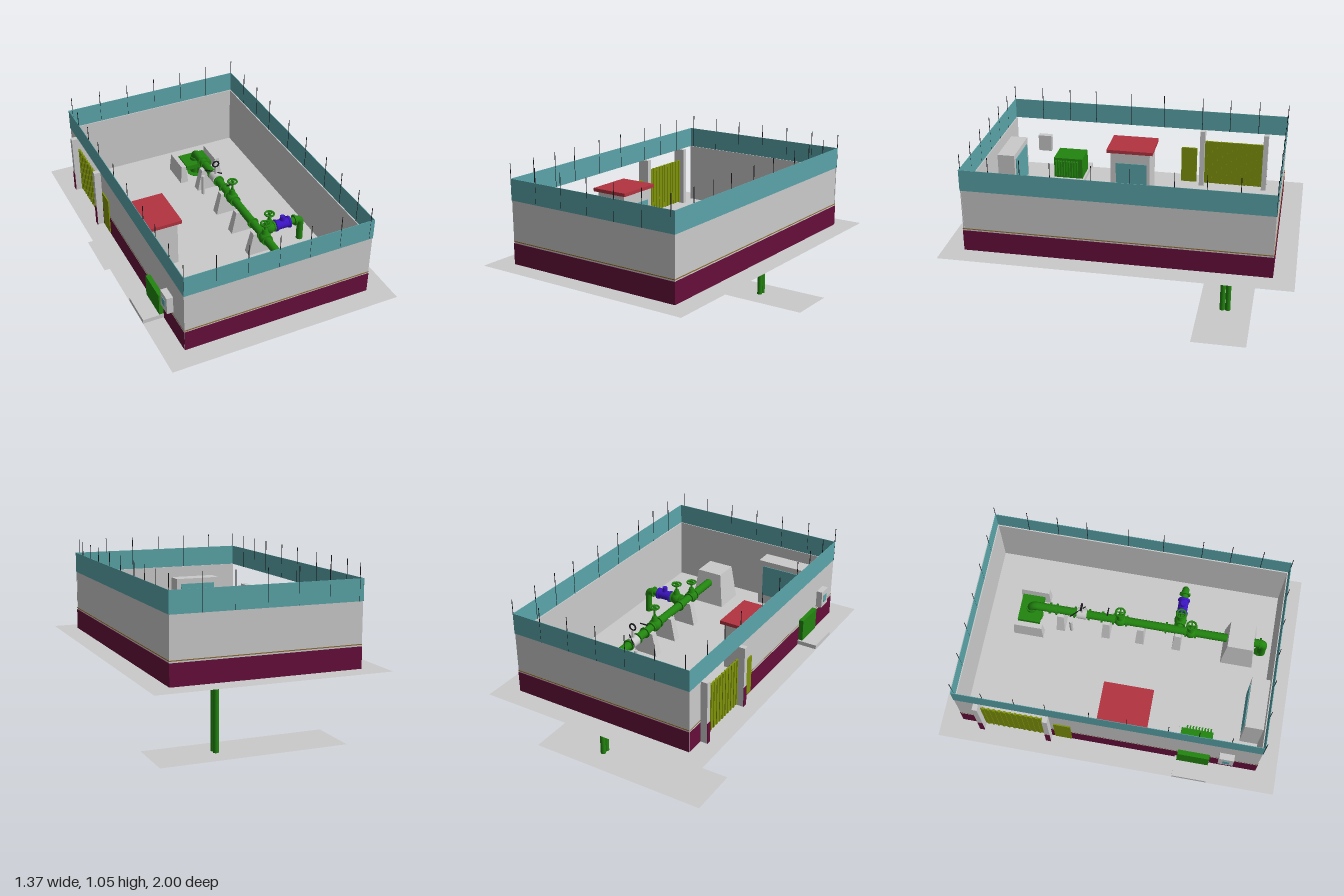
import * as THREE from 'three';

const mat = (name, color, side = THREE.FrontSide) => {
  const m = new THREE.MeshStandardMaterial({ color, side });
  m.name = name;
  return m;
};

export function createModel() {
  const root = new THREE.Group();
  root.name = 'pumpingStation';
  const grey = mat('concreteGrey', 0xcacaca, THREE.DoubleSide);
  const outer = grey.clone(); // same colour, seen from outside only
  outer.side = THREE.FrontSide;
  const teal = mat('tealGlass', 0x5aa4a9, THREE.DoubleSide);
  const maroon = mat('maroonPlinth', 0x660e3a);
  const red = mat('redRoof', 0xb23440);
  const green = mat('greenPaint', 0x22850f);
  const blue = mat('blueMeter', 0x3c14c4);
  const olive = mat('oliveGate', 0x7f9208);
  const black = mat('blackSteel', 0x1a1a1e);
  const gold = mat('goldTrim', 0x8a6a30);
  const G = 0.465; // yard level
  const PX = 0.175, PY = 0.61; // main pipe axis

  const add = (name, geo, m, parent = root) => {
    const o = new THREE.Mesh(geo, m);
    o.name = name;
    parent.add(o);
    return o;
  };
  // box from its min and max limits
  const box = (name, m, x0, x1, y0, y1, z0, z1) =>
    add(name, new THREE.BoxGeometry(x1 - x0, y1 - y0, z1 - z0), m)
      .position.set((x0 + x1) / 2, (y0 + y1) / 2, (z0 + z1) / 2);
  // cylinder between two points
  const rod = (name, m, a, b, r, r2 = r, seg = 16) => {
    const p = new THREE.Vector3(...a), q = new THREE.Vector3(...b);
    const d = q.clone().sub(p);
    const o = add(name, new THREE.CylinderGeometry(r2, r, d.length(), seg), m);
    o.position.copy(p).add(q).multiplyScalar(0.5);
    o.quaternion.setFromUnitVectors(new THREE.Vector3(0, 1, 0), d.normalize());
  };
  // pipe bend through points
  const bend = (name, pts, r) => add(name, new THREE.TubeGeometry(
    new THREE.QuadraticBezierCurve3(...pts.map(p => new THREE.Vector3(...p))), 10, r, 14), green);
  // tapered block, open underneath
  const frustum = (name, x, z, w, d, w2, d2, y0, y1) => {
    const g = new THREE.BoxGeometry(w, y1 - y0, d);
    const p = g.attributes.position;
    for (let i = 0; i < p.count; i++)
      if (p.getY(i) > 0) p.setXYZ(i, p.getX(i) * w2 / w, p.getY(i), p.getZ(i) * d2 / d);
    g.setIndex([...g.index.array].filter((_, i) => i < 18 || i >= 24));
    g.clearGroups();
    g.computeVertexNormals();
    add(name, g, grey).position.set(x, (y0 + y1) / 2, z);
  };
  const sheet = (name, w, d, x, y, z) => {
    const o = add(name, new THREE.PlaneGeometry(w, d), grey);
    o.rotation.x = -Math.PI / 2;
    o.position.set(x, y, z);
  };

  // Yard ground and the lower water bed level
  sheet('yardGround', 1.37, 2, 0, G, 0);
  sheet('lowerGround', 1.125, 0.32, 0.01, 0, -0.597);

  // Front and back walls, then the right wall
  for (const s of [1, -1]) {
    const span = (name, m, y0, y1, t, o) => {
      const z = s * (0.872 + o);
      box(name, m, -0.56, 0.56, y0, y1, z - t / 2, z + t / 2);
    };
    span('endWall', grey, G, 0.84, 0.006, 0);
    span('endPlinth', maroon, G, 0.59, 0.003, 0.005);
    span('endTrim', gold, 0.599, 0.604, 0.003, 0.005);
    span('endGlass', teal, 0.84, 0.965, 0.003, 0.004);
  }
  box('sideWall', grey, 0.552, 0.558, G, 0.84, -0.875, 0.875);
  box('sidePlinth', maroon, 0.558, 0.561, G, 0.59, -0.878, 0.878);
  box('sideTrim', gold, 0.558, 0.561, 0.599, 0.604, -0.878, 0.878);
  for (const x of [-0.56, 0.56]) box('sideGlass', teal, x - 0.0015, x + 0.0015, 0.84, 0.965, -0.878, 0.878);

  // Gate wall, faced outwards, with an opening for the gate
  const face = (name, m, z0, z1, y0, y1, x) => {
    const o = add(name, new THREE.PlaneGeometry(z1 - z0, y1 - y0), m);
    o.rotation.y = -Math.PI / 2;
    o.position.set(x, (y0 + y1) / 2, (z0 + z1) / 2);
  };
  for (const [a, b] of [[-0.875, -0.75], [-0.35, 0.875]]) {
    face('gateWall', outer, a, b, G, 0.84, -0.56);
    face('gateWallPlinth', maroon, a, b, G, 0.59, -0.562);
    face('gateWallTrim', gold, a, b, 0.599, 0.604, -0.562);
  }
  for (const z of [-0.75, -0.35]) {
    box('gatePost', grey, -0.6, -0.525, G, 0.84, z - 0.015, z + 0.015);
    box('gatePostPlinth', maroon, -0.603, -0.6, G, 0.59, z - 0.015, z + 0.015);
  }
  // Corrugated gate and small side door
  box('gate', olive, -0.562, -0.556, G + 0.01, 0.765, -0.735, -0.365);
  for (let i = 0; i < 12; i++) {
    const z = -0.725 + i * 0.031;
    box('gateRib', olive, -0.566, -0.552, G + 0.01, 0.765, z, z + 0.012);
  }
  box('sideDoor', olive, -0.567, -0.556, G + 0.01, 0.71, -0.315, -0.215);

  // Fence rods
  for (let i = 0; i < 7; i++) {
    const x = -0.56 + i * 0.1828;
    rod('fenceRod', black, [x, 0.84, 0.876], [x, 1.05, 0.876], 0.002, 0.002, 6);
    rod('fenceRod', black, [-x, 0.84, -0.876], [-x, 1.05, -0.876], 0.002, 0.002, 6);
  }
  for (const z of [0.7, 0.52, 0.35, 0.12, -0.09, -0.335, -0.51, -0.69])
    for (const s of [1, -1])
      rod('fenceRod', black, [s * 0.559, 0.84, z + s * 0.008], [s * 0.559, 1.05, z + s * 0.008], 0.002, 0.002, 6);

  // Guard house with flat roof and glazed door
  box('houseBody', grey, -0.5, -0.3, G, 0.757, -0.05, 0.2);
  box('houseRoof', red, -0.52, -0.28, 0.757, 0.778, -0.07, 0.22);
  box('houseDoor', teal, -0.3, -0.295, G + 0.01, 0.685, -0.03, 0.165);

  // Shed against the front wall
  box('shed', grey, -0.4, -0.1, G, 0.77, 0.762, 0.868);
  box('shedWindow', teal, -0.37, -0.13, 0.53, 0.735, 0.757, 0.762);

  // Kiosk through the wall on its slab, with cooling fins
  box('kioskSlab', grey, -0.685, -0.34, 0.47, 0.495, 0.4, 0.602);
  box('kiosk', green, -0.588, -0.425, 0.495, 0.63, 0.412, 0.598);
  for (let i = 0; i < 9; i++) {
    const z = 0.44 + i * 0.0175;
    box('kioskFin', green, -0.425, -0.402, 0.51, 0.615, z, z + 0.008);
  }
  // Meter cabinet on the wall
  box('wallCabinet', grey, -0.597, -0.56, 0.615, 0.72, 0.648, 0.733);
  box('cabinetWindow', teal, -0.6, -0.597, 0.645, 0.69, 0.672, 0.71);

  // Main pipe with end bends and flanges
  rod('mainPipe', green, [PX, PY, -0.57], [PX, PY, 0.79], 0.025);
  bend('wellBend', [[PX, PY - 0.04, -0.61], [PX, PY, -0.61], [PX, PY, -0.565]], 0.025);
  bend('outletBend', [[PX, PY, 0.785], [PX, PY, 0.81], [PX, PY - 0.03, 0.81]], 0.025);
  rod('outletDrop', green, [PX, PY - 0.03, 0.81], [PX, 0.47, 0.81], 0.025);
  rod('outletStub', green, [PX, 0.485, 0.782], [PX, 0.447, 0.82], 0.025);
  for (const z of [-0.49, -0.45, -0.34, -0.25, -0.17, -0.1, -0.02, 0.22, 0.34, 0.4, 0.79])
    rod('pipeFlange', green, [PX, PY, z - 0.005], [PX, PY, z + 0.005], 0.034);

  // Well: riser pipes, head box and flange
  for (const z of [-0.581, -0.614]) rod('riser', green, [0.193, 0, z], [0.193, 0.53, z], 0.016);
  rod('wellFlange', green, [PX, 0.455, -0.6], [PX, 0.466, -0.6], 0.055);
  box('wellHead', green, 0.09, 0.26, 0.53, 0.56, -0.68, -0.545);
  rod('wellNeck', green, [PX, 0.47, -0.61], [PX, 0.58, -0.61], 0.032);
  for (const x of [0.058, 0.292]) frustum('wellSupport', x, -0.607, 0.055, 0.185, 0.03, 0.17, 0.44, 0.58);

  // Pipe supports and the anchor block
  for (const z of [-0.42, -0.14, 0.07, 0.297])
    frustum('pipeSupport', PX, z, 0.165, 0.055, 0.09, 0.04, 0.44, 0.605);
  frustum('anchorBlock', PX, 0.672, 0.215, 0.195, 0.16, 0.15, G, 0.68);

  // Valve with bonnet, stem and handwheel
  const valve = (x, z, y) => {
    const body = add('valveBody', new THREE.SphereGeometry(0.038, 16, 10), green);
    body.position.set(x, PY, z);
    rod('valveBonnet', green, [x, PY + 0.02, z], [x, PY + 0.06, z], 0.025, 0.014);
    rod('valveStem', green, [x, PY + 0.05, z], [x, y + 0.01, z], 0.007, 0.007, 8);
    const wheel = add('handwheel', new THREE.TorusGeometry(0.027, 0.006, 6, 18), green);
    wheel.rotation.x = Math.PI / 2;
    wheel.position.set(x, y, z);
    for (const [dx, dz] of [[0.027, 0], [0, 0.027]])
      rod('wheelSpoke', green, [x - dx, y, z - dz], [x + dx, y, z + dz], 0.004, 0.004, 6);
  };
  valve(PX, 0.37, 0.71);
  valve(PX, -0.06, 0.73);
  valve(0.24, 0.297, 0.71);

  // Side branch with blue flow meter
  rod('branchPipe', green, [PX, PY, 0.297], [0.425, PY, 0.297], 0.02);
  bend('branchBend', [[0.42, PY, 0.297], [0.45, PY, 0.297], [0.45, PY - 0.035, 0.297]], 0.022);
  rod('branchDrop', green, [0.45, PY - 0.035, 0.297], [0.45, G, 0.297], 0.02);
  rod('meterBody', blue, [0.29, PY, 0.297], [0.365, PY, 0.297], 0.03);
  for (const x of [0.285, 0.37]) rod('meterFlange', blue, [x - 0.006, PY, 0.297], [x + 0.006, PY, 0.297], 0.036);
  rod('meterHead', blue, [0.328, PY, 0.297], [0.328, PY + 0.055, 0.297], 0.016);
  for (const x of [0.21, 0.27, 0.41]) rod('branchFlange', green, [x - 0.005, PY, 0.297], [x + 0.005, PY, 0.297], 0.033);

  // Grey gauge unit with levers, and the level probe below ground
  rod('gaugeBody', grey, [PX, PY, -0.325], [PX, PY, -0.265], 0.033);
  rod('gaugeStem', grey, [PX, PY, -0.295], [PX, 0.69, -0.295], 0.008);
  add('gaugeRing', new THREE.TorusGeometry(0.02, 0.005, 6, 18), black).position.set(PX, 0.71, -0.295);
  rod('lever', black, [0.13, 0.64, -0.36], [0.21, 0.64, -0.28], 0.004, 0.004, 6);
  rod('lever', black, [PX, 0.645, -0.14], [0.225, 0.645, -0.14], 0.004, 0.004, 6);
  rod('probeBody', grey, [0.117, 0.41, -0.355], [0.117, 0.6, -0.355], 0.011, 0.011, 10);
  rod('probeTip', black, [0.117, 0.38, -0.355], [0.117, 0.41, -0.355], 0.003, 0.003, 6);

  return root;
}
